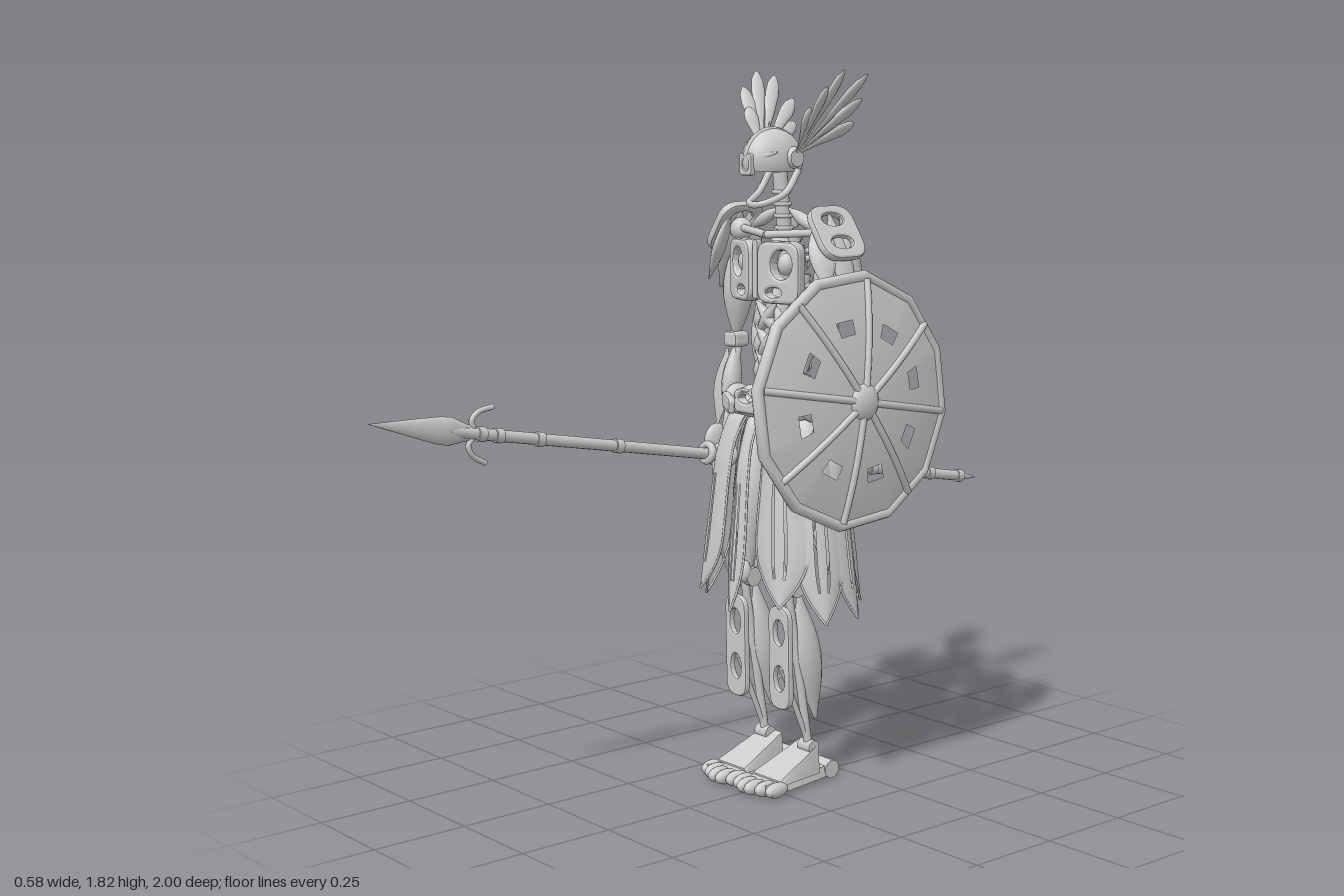
import * as THREE from 'three';

const CX = -0.04; // body axis
const Y = new THREE.Vector3(0, 1, 0);
const grey = new THREE.MeshStandardMaterial({ color: 0xcccccc, side: THREE.DoubleSide });
grey.name = 'lightGrey';
const V = (x, y, z) => new THREE.Vector3(x, y, z);

function add(parent, name, geo, x = 0, y = 0, z = 0, rx = 0, ry = 0, rz = 0) {
  const m = new THREE.Mesh(geo, grey);
  m.name = name;
  m.position.set(x, y, z);
  m.rotation.set(rx, ry, rz);
  parent.add(m);
  return m;
}
// place a unit-height part between two points
function span(parent, name, geo, a, b, sx, sz) {
  const m = add(parent, name, geo);
  m.position.copy(a).add(b).multiplyScalar(0.5);
  m.quaternion.setFromUnitVectors(Y, b.clone().sub(a).normalize());
  m.scale.set(sx, a.distanceTo(b), sz);
  return m;
}
const lathe = (pts, n) => new THREE.LatheGeometry(pts.map(q => new THREE.Vector2(...q)), n);
const spindleGeo = lathe(Array.from({ length: 11 }, (_, i) => [0.12 + 0.88 * Math.pow(Math.sin(Math.PI * i / 10), 1.2), i / 10 - 0.5]), 14);
const featherGeo = lathe([[0.2, -0.5], [0.35, -0.2], [0.75, 0.05], [1, 0.25], [0.85, 0.38], [0.4, 0.47], [0.01, 0.5]], 12);
const rodGeo = new THREE.CylinderGeometry(1, 1, 1, 12);
const spindle = (p, n, a, b, r, rz = r) => span(p, n, spindleGeo, a, b, r, rz);
const rod = (p, n, a, b, r) => span(p, n, rodGeo, a, b, r, r);
const ball = (p, n, x, y, z, rx, ry = rx, rz = rx) => {
  const m = add(p, n, new THREE.SphereGeometry(1, 16, 10), x, y, z);
  m.scale.set(rx, ry, rz);
  return m;
};
const tube = (p, n, pts, r) => add(p, n, new THREE.TubeGeometry(new THREE.CatmullRomCurve3(pts), 20, r, 8));

// rounded plate with oval holes [x, y, rx, ry]
function plate(w, h, d, r, holes) {
  const s = new THREE.Shape(), a = w / 2, b = h / 2;
  s.moveTo(-a + r, -b).lineTo(a - r, -b).quadraticCurveTo(a, -b, a, -b + r);
  s.lineTo(a, b - r).quadraticCurveTo(a, b, a - r, b).lineTo(-a + r, b);
  s.quadraticCurveTo(-a, b, -a, b - r).lineTo(-a, -b + r).quadraticCurveTo(-a, -b, -a + r, -b);
  for (const [x, y, rx, ry] of holes) s.holes.push(new THREE.Path().absellipse(x, y, rx, ry, 0, Math.PI * 2, true));
  const k = Math.min(d * 0.3, 0.008);
  return new THREE.ExtrudeGeometry(s, { depth: d - 2 * k, bevelThickness: k, bevelSize: k, bevelOffset: -k, bevelSegments: 2, curveSegments: 8 })
    .translate(0, 0, k - d / 2);
}
// curved sheet from a rule, with cells left out where hole() is true
function sheet(f, nu, nv, hole) {
  const pos = [], idx = [];
  for (let j = 0; j <= nv; j++) for (let i = 0; i <= nu; i++) pos.push(...f(i / nu * 2 - 1, j / nv).toArray());
  for (let j = 0; j < nv; j++) for (let i = 0; i < nu; i++) {
    if (hole((i + 0.5) / nu * 2 - 1, (j + 0.5) / nv)) continue;
    const a = j * (nu + 1) + i, c = a + nu + 1;
    idx.push(a, c, a + 1, a + 1, c, c + 1);
  }
  const g = new THREE.BufferGeometry();
  g.setAttribute('position', new THREE.Float32BufferAttribute(pos, 3));
  g.setIndex(idx);
  g.computeVertexNormals();
  return g;
}

function head(root) {
  const g = new THREE.Group(); g.name = 'head'; root.add(g);
  g.position.set(CX, 0, 0);
  const dome = add(g, 'helmet', new THREE.SphereGeometry(1, 24, 12, 0, Math.PI * 2, 0, 1.95), 0, 1.6, -0.06);
  dome.scale.set(0.057, 0.077, 0.09);
  tube(g, 'crestRidge', [V(0, 1.61, 0.027), V(0, 1.65, 0.005), V(0, 1.675, -0.055), V(0, 1.65, -0.125), V(0, 1.59, -0.145)], 0.007);
  add(g, 'crestSpike', new THREE.ConeGeometry(0.006, 0.025, 8), 0, 1.685, -0.05);
  add(g, 'noseGuard', plate(0.045, 0.055, 0.016, 0.008, [[0, 0, 0.012, 0.016]]), 0, 1.59, 0.022);
  tube(g, 'jaw', [V(-0.052, 1.575, -0.1), V(-0.05, 1.52, -0.06), V(-0.03, 1.495, -0.01), V(0, 1.49, 0),
    V(0.03, 1.495, -0.01), V(0.05, 1.52, -0.06), V(0.052, 1.575, -0.1)], 0.009);
  rod(g, 'neck', V(0, 1.42, -0.1), V(0, 1.57, -0.085), 0.019);
  for (let i = 0; i < 4; i++) add(g, 'neckRing', new THREE.TorusGeometry(0.019, 0.006, 6, 14), 0, 1.43 + i * 0.03, -0.099 + i * 0.003, Math.PI / 2);
  for (const s of [-1, 1]) {
    add(g, 'earDisc', new THREE.CylinderGeometry(0.022, 0.028, 0.016, 14), s * 0.058, 1.605, -0.085, 0, 0, -s * Math.PI / 2);
    spindle(g, 'brow', V(s * 0.012, 1.6, 0.026), V(s * 0.054, 1.62, -0.03), 0.009);
    // fan of feathers
    const tips = [[1.73, -0.08], [1.78, -0.1], [1.82, -0.15], [1.81, -0.22], [1.75, -0.245], [1.69, -0.235]];
    tips.forEach(([y, z], i) => {
      const out = 0.057 + (y - 1.615) * 0.53 + (i % 2) * 0.014;
      span(g, 'wingFeather', featherGeo, V(s * 0.062, 1.615, -0.085), V(s * out, y, z), 0.008, 0.019).rotateY(s * 0.3);
    });
  }
}

function torso(root) {
  const g = new THREE.Group(); g.name = 'torso'; root.add(g);
  g.position.set(CX, 0, 0);
  for (let i = 0; i < 13; i++) {
    const z = -0.165 + 0.04 * Math.max(0, i - 8) / 4;
    add(g, 'vertebra', new THREE.CylinderGeometry(0.019, 0.016, 0.028, 10), 0, 1.0 + i * 0.037, z);
    ball(g, 'vertebraKnob', 0, 1.0 + i * 0.037, z - 0.015, 0.012);
  }
  add(g, 'breastbone', plate(0.02, 0.15, 0.02, 0.008, []), 0, 1.33, -0.01);
  for (const s of [-1, 1]) {
    add(g, 'chestPlate', plate(0.122, 0.155, 0.04, 0.035, [[s * 0.01, 0.02, 0.03, 0.036], [-s * 0.012, -0.05, 0.022, 0.012]]), s * 0.068, 1.325, -0.03, 0, s * 0.3, 0);
    ball(g, 'chestMuscle', s * 0.075, 1.345, -0.04, 0.022, 0.028, 0.022);
    for (let i = 0; i < 2; i++) tube(g, 'rib', [V(s * 0.015, 1.28 + i * 0.09, -0.165), V(s * 0.085, 1.285 + i * 0.09, -0.15),
      V(s * 0.115, 1.275 + i * 0.09, -0.1), V(s * 0.1, 1.265 + i * 0.09, -0.05)], 0.008);
    rod(g, 'collarBone', V(0, 1.415, -0.04), V(s * 0.15, 1.425, -0.085), 0.01);
    spindle(g, 'neckMuscle', V(s * 0.015, 1.48, -0.1), V(s * 0.13, 1.425, -0.1), 0.016);
    spindle(g, 'shoulderBlade', V(s * 0.095, 1.43, -0.155), V(s * 0.055, 1.24, -0.175), 0.04, 0.02);
    spindle(g, 'backMuscle', V(s * 0.115, 1.37, -0.13), V(s * 0.025, 1.06, -0.15), 0.03);
    spindle(g, 'sideMuscle', V(s * 0.085, 1.26, -0.09), V(s * 0.06, 1.03, -0.08), 0.016, 0.025);
    // woven belly muscles
    for (let i = 0; i < 3; i++) {
      const y = 1.03 + i * 0.065;
      spindle(g, 'bellyMuscle', V(s * 0.045, y, -0.05), V(-s * 0.04, y + 0.09, -0.04), 0.016);
      spindle(g, 'bellyStrand', V(s * 0.05, y, -0.06), V(s * 0.03, y + 0.08, -0.045), 0.016);
    }
    ball(g, 'hip', s * 0.1, 0.98, -0.09, 0.05, 0.045, 0.06);
    add(g, 'beltPlate', plate(0.09, 0.04, 0.02, 0.012, []), s * 0.1, 0.985, 0.0, 0, s * 0.5, s * 0.12);
    ball(g, 'beltStud', s * 0.148, 0.99, -0.07, 0.024, 0.035, 0.04);
    spindle(g, 'backHipPad', V(s * 0.02, 1.03, -0.18), V(s * 0.12, 0.95, -0.18), 0.04, 0.03);
  }
  const belt = add(g, 'belt', new THREE.TorusGeometry(1, 0.1, 8, 32), 0, 0.98, -0.085, Math.PI / 2);
  belt.scale.set(0.15, 0.1, 0.18);
  add(g, 'buckle', plate(0.085, 0.06, 0.03, 0.015, [[0, 0.008, 0.025, 0.01]]), 0, 1.0, 0.018);
  ball(g, 'pelvis', 0, 0.96, -0.09, 0.12, 0.06, 0.08);
}

function skirt(root) {
  const g = new THREE.Group(); g.name = 'skirt'; root.add(g);
  g.position.set(CX, 0, -0.088);
  const panel = (a, W, bottom, lift) => {
    const sn = Math.sin(a), cs = Math.cos(a), top = 0.965;
    const at = (u, v) => {
      const belly = Math.sqrt(Math.min(1, v * 4));
      const rx = 0.142 + 0.035 * belly + 0.07 * v, rz = 0.095 + 0.03 * belly + 0.045 * v;
      const n = V(sn / rx, 0, cs / rz).normalize();
      const end = v < 0.7 ? 1 : 1 - Math.pow((v - 0.7) / 0.3, 1.9);
      const w = W * (0.62 + 0.38 * Math.min(1, v * 1.6)) * end * u;
      const k = lift - W * 0.4 * u * u * end;
      return V(rx * sn + n.z * w + n.x * k, top - (top - bottom) * v, rz * cs - n.x * w + n.z * k);
    };
    add(g, 'skirtPanel', sheet(at, 20, 32, (u, v) => Math.abs(Math.abs(u) - 0.25) < 0.06 && v > 0.35 && v < 0.84));
    for (const u of [-1, 1]) tube(g, 'panelEdge', [0, 0.15, 0.35, 0.6, 0.75, 0.87, 0.95, 1].map(v => at(u, v)), 0.003);
  };
  panel(0, 0.028, 0.47, 0);
  panel(Math.PI, 0.04, 0.52, 0);
  for (const s of [-1, 1]) {
    panel(s * 0.66, 0.07, 0.5, 0.006);
    panel(s * 1.25, 0.062, 0.46, 0);
    panel(s * 1.9, 0.062, 0.46, 0);
    panel(s * 2.5, 0.072, 0.48, 0.006);
  }
}

function leg(root, s) {
  const g = new THREE.Group(); g.name = s > 0 ? 'leftLeg' : 'rightLeg'; root.add(g);
  g.position.set(CX + s * 0.085, 0, 0);
  spindle(g, 'thigh', V(s * 0.01, 0.97, -0.09), V(0, 0.53, -0.05), 0.05, 0.055);
  spindle(g, 'innerThigh', V(-s * 0.03, 0.93, -0.09), V(-s * 0.01, 0.55, -0.07), 0.028);
  add(g, 'kneeJoint', new THREE.CylinderGeometry(0.025, 0.025, 0.055, 14), 0, 0.53, -0.05, 0, 0, Math.PI / 2);
  ball(g, 'kneeCap', -s * 0.012, 0.545, -0.03, 0.018, 0.03, 0.016);
  rod(g, 'shinBone', V(0, 0.52, -0.04), V(0, 0.1, -0.11), 0.011);
  spindle(g, 'calf', V(0, 0.51, -0.075), V(0, 0.17, -0.135), 0.03, 0.042);
  add(g, 'shinGuard', plate(0.078, 0.27, 0.018, 0.038, [[0, 0.065, 0.02, 0.034], [0, -0.055, 0.02, 0.034]]), 0, 0.35, -0.016, 0.02);
  rod(g, 'shinLink', V(0, 0.32, -0.02), V(0, 0.13, -0.1), 0.007);
  add(g, 'ankle', new THREE.CylinderGeometry(0.018, 0.018, 0.045, 14), 0, 0.1, -0.11, 0, 0, Math.PI / 2);
  // flat sole with a wedge instep above it
  const fx = -s * 0.014;
  const wedge = (name, h, w0, w1, z0, z1, y0, yBack, yFront) => {
    const geo = new THREE.BoxGeometry(1, 1, 1, 1, 1, h), p = geo.attributes.position;
    for (let i = 0; i < p.count; i++) {
      const t = p.getZ(i) + 0.5, up = p.getY(i) > 0;
      p.setXYZ(i, p.getX(i) * (w0 + (w1 - w0) * t) * (up ? 0.85 : 1), up ? yBack + (yFront - yBack) * t : y0, z0 + (z1 - z0) * t);
    }
    geo.computeVertexNormals();
    add(g, name, geo, fx);
  };
  wedge('sole', 4, 0.065, 0.135, -0.17, 0.06, 0.012, 0.04, 0.035);
  wedge('instep', 2, 0.085, 0.125, -0.125, 0.02, 0.03, 0.105, 0.04);
  add(g, 'heel', new THREE.CylinderGeometry(0.024, 0.024, 0.07, 16), fx, 0.028, -0.175, 0, 0, Math.PI / 2);
  for (let i = 0; i < 5; i++) ball(g, 'toe', fx + s * (i - 2) * 0.028, 0.022, 0.065 - 0.012 * Math.abs(i - 1.5), 0.0165, 0.02, 0.036);
}

function arm(root, s) {
  const g = new THREE.Group(); g.name = s > 0 ? 'leftArm' : 'rightArm'; root.add(g);
  g.position.set(CX, 0, 0);
  ball(g, 'shoulderJoint', s * 0.155, 1.42, -0.09, 0.03);
  spindle(g, 'upperArm', V(s * 0.155, 1.42, -0.09), V(s * 0.183, 1.13, -0.095), 0.034, 0.042);
  add(g, 'elbow', plate(0.05, 0.04, 0.05, 0.012, []), s * 0.182, 1.135, -0.095);
  spindle(g, 'forearm', V(s * 0.182, 1.13, -0.095), V(s * 0.178, 0.92, -0.06), 0.024, 0.03);
  rod(g, 'forearmBone', V(s * 0.178, 1.13, -0.1), V(s * 0.172, 0.9, -0.05), 0.011);
  // layered shoulder armour
  add(g, 'shoulderPlate', plate(0.14, 0.15, 0.022, 0.05, [[0, 0.035, 0.035, 0.018], [0, -0.03, 0.035, 0.018]]), s * 0.192, 1.425, -0.1, 0, s * Math.PI / 2, 0).rotateX(-0.6);
  for (let i = -1; i <= 1; i++) {
    const m = spindle(g, 'shoulderLeaf', V(s * 0.165, 1.47, -0.1 + i * 0.035), V(s * (0.25 - 0.025 * Math.abs(i)), 1.265 + 0.025 * Math.abs(i), -0.1 + i * 0.06), 0.013, 0.036);
    m.rotateY(s * i * -0.3);
  }
  if (s < 0) {
    spindle(g, 'forearmGuard', V(-0.2, 1.11, -0.08), V(-0.218, 0.91, -0.06), 0.008, 0.03);
    ball(g, 'palm', -0.185, 0.87, -0.03, 0.018, 0.05, 0.04);
    for (let i = 0; i < 4; i++) add(g, 'finger', new THREE.TorusGeometry(0.022, 0.01, 8, 14), -0.179, 0.833 + i * 0.0045, -0.065 + i * 0.024, -0.176);
    spindle(g, 'thumb', V(-0.16, 0.88, -0.03), V(-0.165, 0.79, 0), 0.012);
  } else {
    ball(g, 'fist', 0.18, 0.9, -0.05, 0.022, 0.04, 0.035);
    for (const y of [1.08, 0.97]) rod(g, 'shieldStrap', V(0.18, y, -0.08), V(0.275, y, -0.08), 0.011);
    rod(g, 'shieldGrip', V(0.22, 0.95, -0.08), V(0.215, 1.1, -0.08), 0.012);
  }
}

function shield(root) {
  const g = new THREE.Group(); g.name = 'shield'; root.add(g);
  g.position.set(0.222, 1.02, -0.085);
  g.rotation.set(-0.05, Math.PI / 2, 0, 'YXZ');
  const R = 0.315, start = 1.4, step = Math.PI / 6;
  const dish = r => 0.012 + 0.04 * (1 - r * r);
  const f = (u, v) => {
    const a = (u + 1) * Math.PI, k = Math.cos(step / 2) / Math.cos((a % step) - step / 2), r = R * v * (1 + (k - 1) * v);
    return V(r * Math.cos(a + start), r * Math.sin(a + start), dish(v));
  };
  // eight windows between the spokes
  const hole = (u, v) => { const c = ((u + 1) * 4) % 1; return c > 0.3 && c < 0.7 && v > 0.54 && v < 0.66; };
  add(g, 'shieldFace', sheet(f, 96, 26, hole));
  add(g, 'shieldRim', new THREE.TorusGeometry(R - 0.008, 0.015, 8, 12), 0, 0, 0.006, 0, 0, start);
  for (let i = 0; i < 8; i++) {
    const a = start + i * Math.PI / 4, at = r => V(Math.cos(a) * R * r, Math.sin(a) * R * r, dish(r) + 0.001);
    tube(g, 'spoke', [at(0.1), at(0.4), at(0.7), at(0.95)], 0.009);
  }
  ball(g, 'boss', 0, 0, 0.048, 0.046, 0.046, 0.022);
}

function spear(root) {
  const g = new THREE.Group(); g.name = 'spear'; root.add(g);
  g.position.set(-0.219, 0.842, 0);
  g.rotation.x = -Math.atan(0.178);
  rod(g, 'shaft', V(0, 0, -0.945), V(0, 0, 0.8), 0.0145);
  for (const z of [-0.94, -0.82, -0.59, -0.36, 0.3, 0.54, 0.66, 0.71])
    add(g, 'shaftRing', new THREE.CylinderGeometry(0.018, 0.018, 0.022, 12), 0, 0, z, Math.PI / 2);
  add(g, 'tailSpike', new THREE.ConeGeometry(0.016, 0.08, 12), 0, 0, -0.975, -Math.PI / 2);
  // leaf-shaped blade
  const blade = lathe([[0.014, 0], [0.022, 0.03], [0.034, 0.07], [0.033, 0.1], [0.022, 0.17], [0.013, 0.22], [0.001, 0.29]], 14);
  add(g, 'blade', blade, 0, 0, 0.725, Math.PI / 2).scale.set(0.42, 1, 1);
  for (const s of [-1, 1]) tube(g, 'barb', [V(0, s * 0.01, 0.73), V(0, s * 0.03, 0.74), V(0, s * 0.052, 0.725), V(0, s * 0.068, 0.685)], 0.007);
}

export function createModel() {
  const root = new THREE.Group();
  root.name = 'armouredSpearFighter';
  head(root);
  torso(root);
  skirt(root);
  for (const s of [-1, 1]) { leg(root, s); arm(root, s); }
  shield(root);
  spear(root);
  return root;
}
